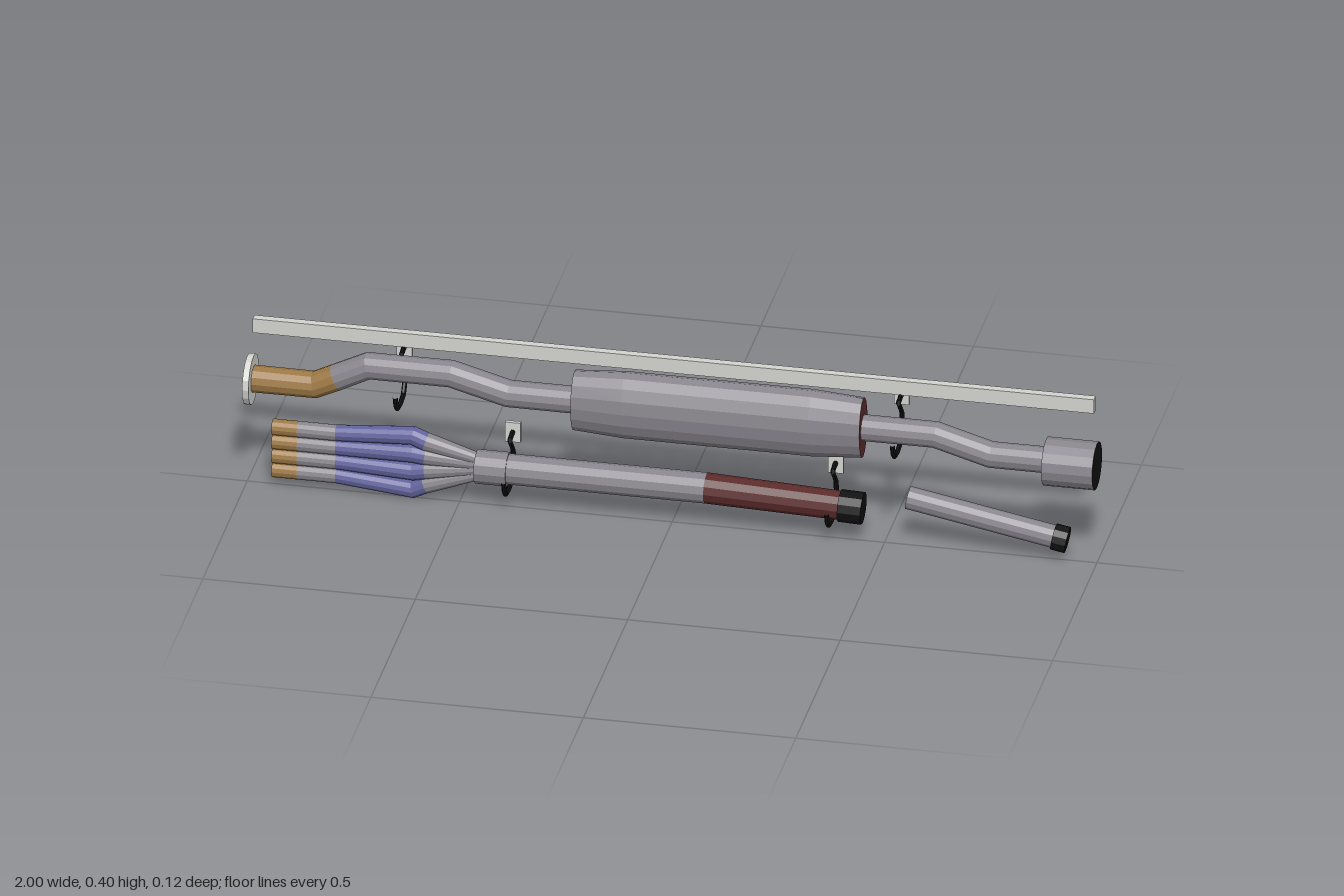
import * as THREE from 'three';

const mat = (name, color, flatShading = true) => {
  const m = new THREE.MeshStandardMaterial({ color, flatShading });
  m.name = name;
  return m;
};

export function createModel() {
  const root = new THREE.Group();
  root.name = 'exhaustSystem';
  const steel = mat('steel', 0x88858c);
  const light = mat('lightMetal', 0xd2d2ce);
  const tan = mat('heatedTan', 0x9c7844);
  const blue = mat('heatedBlue', 0x62629c);
  const rust = mat('darkRed', 0x5a2a2a);
  const black = mat('black', 0x101010);

  // Tube through sections [x, y, ry, rz], one material per segment, closed at both ends
  function loft(name, sections, mats, sides = 12, startCap = mats[0], endCap = mats[mats.length - 1]) {
    const n = sections.length;
    const dir = (i) => new THREE.Vector2(
      sections[i + 1][0] - sections[i][0], sections[i + 1][1] - sections[i][1]).normalize();
    const rings = sections.map(([x, y, ry, rz = ry], i) => {
      const t = dir(Math.min(i, n - 2)).add(dir(Math.max(i - 1, 0))).normalize();
      return Array.from({ length: sides }, (_, j) => {
        const a = (j / sides) * Math.PI * 2;
        const u = Math.cos(a) * ry;
        return [x - t.y * u, y + t.x * u, Math.sin(a) * rz];
      });
    });
    const pos = [];
    const list = [];
    const geo = new THREE.BufferGeometry();
    const group = (m, build) => {
      const start = pos.length / 3;
      for (let j = 0; j < sides; j++) build(j, (j + 1) % sides);
      if (!list.includes(m)) list.push(m);
      geo.addGroup(start, pos.length / 3 - start, list.indexOf(m));
    };
    for (let i = 0; i < n - 1; i++) {
      const A = rings[i], B = rings[i + 1];
      group(mats[Math.min(i, mats.length - 1)], (j, k) =>
        pos.push(...A[j], ...A[k], ...B[k], ...A[j], ...B[k], ...B[j]));
    }
    const c0 = [sections[0][0], sections[0][1], 0];
    const c1 = [sections[n - 1][0], sections[n - 1][1], 0];
    group(startCap, (j, k) => pos.push(...c0, ...rings[0][k], ...rings[0][j]));
    group(endCap, (j, k) => pos.push(...c1, ...rings[n - 1][j], ...rings[n - 1][k]));
    geo.setAttribute('position', new THREE.Float32BufferAttribute(pos, 3));
    geo.computeVertexNormals();
    const mesh = new THREE.Mesh(geo, list);
    mesh.name = name;
    root.add(mesh);
  }

  function box(name, w, h, d, x, y, z) {
    const mesh = new THREE.Mesh(new THREE.BoxGeometry(w, h, d), light);
    mesh.position.set(x, y, z);
    mesh.name = name;
    root.add(mesh);
  }

  // Long mounting rail
  box('rail', 1.98, 0.036, 0.02, -0.005, 0.387, -0.047);

  // Upper line: flange, bent pipes, muffler and tip
  loft('flange', [[-1, 0.268, 0.06], [-0.985, 0.268, 0.06]], [light], 16);
  loft('frontPipe', [
    [-0.987, 0.27, 0.032], [-0.84, 0.27, 0.032], [-0.79, 0.294, 0.032], [-0.715, 0.332, 0.032],
    [-0.52, 0.332, 0.032], [-0.385, 0.295, 0.032], [-0.21, 0.295, 0.032],
  ], [tan, tan, steel]);
  loft('muffler', [
    [-0.23, 0.295, 0.075, 0.047], [-0.11, 0.295, 0.083, 0.054],
    [0.33, 0.295, 0.083, 0.054], [0.45, 0.295, 0.075, 0.047],
  ], [steel], 16, rust, rust);
  loft('rearPipe', [
    [0.44, 0.295, 0.031], [0.62, 0.295, 0.031], [0.75, 0.257, 0.031], [0.9, 0.257, 0.031],
  ], [steel]);
  loft('tailTip', [[0.88, 0.254, 0.057], [1, 0.254, 0.057]], [steel], 16, steel, black);

  // Four header runners that fan out and merge in the collector
  for (let i = 0; i < 4; i++) {
    const k = i - 1.5;
    const y0 = 0.095 + k * 0.0365;
    const y1 = 0.093 + k * 0.046;
    loft('headerRunner' + (i + 1), [
      [-0.94, y0, 0.019], [-0.88, y0, 0.019], [-0.79, y0, 0.019],
      [-0.61, y1, 0.022], [-0.58, y1 * 0.8 + 0.02, 0.022], [-0.45, 0.098 + k * 0.012, 0.014],
    ], [tan, steel, blue, blue, steel]);
  }
  loft('collector', [[-0.46, 0.098, 0.04], [-0.385, 0.098, 0.04]], [steel]);

  // Lower pipe with its dark rear section and black end
  loft('lowerPipe', [
    [-0.39, 0.099, 0.036], [0.08, 0.099, 0.036], [0.41, 0.087, 0.034],
  ], [steel, rust]);
  loft('lowerPipeEnd', [[0.395, 0.087, 0.038], [0.45, 0.085, 0.038]], [black]);

  // Loose tail pipe
  loft('tailPipe', [[0.555, 0.125, 0.027], [0.91, 0.058, 0.027]], [steel]);
  loft('tailPipeEnd', [[0.898, 0.06, 0.031], [0.931, 0.054, 0.031]], [black]);

  // Hook hangers [z, y], each with a mounting tab
  const hook = [
    [-0.052, 0.172], [-0.012, 0.166], [-0.032, 0.145], [-0.052, 0.122], [-0.057, 0.082],
    [-0.036, 0.052], [0, 0.045], [0.03, 0.048], [0.046, 0.06], [0.057, 0.092],
  ];
  const hangers = [[-0.64, 0.195], [0.53, 0.195], [-0.385, 0], [0.375, 0]];
  for (const [x, lift] of hangers) {
    const path = new THREE.CurvePath();
    for (let i = 0; i < hook.length - 1; i++) {
      path.add(new THREE.LineCurve3(
        new THREE.Vector3(x, hook[i][1] + lift, hook[i][0]),
        new THREE.Vector3(x, hook[i + 1][1] + lift, hook[i + 1][0])));
    }
    const mesh = new THREE.Mesh(new THREE.TubeGeometry(path, 40, 0.006, 6), black);
    mesh.name = 'hangerHook';
    root.add(mesh);
    box('hangerTab', 0.036, 0.05, 0.01, x, 0.17 + lift, -0.052);
  }
  return root;
}
